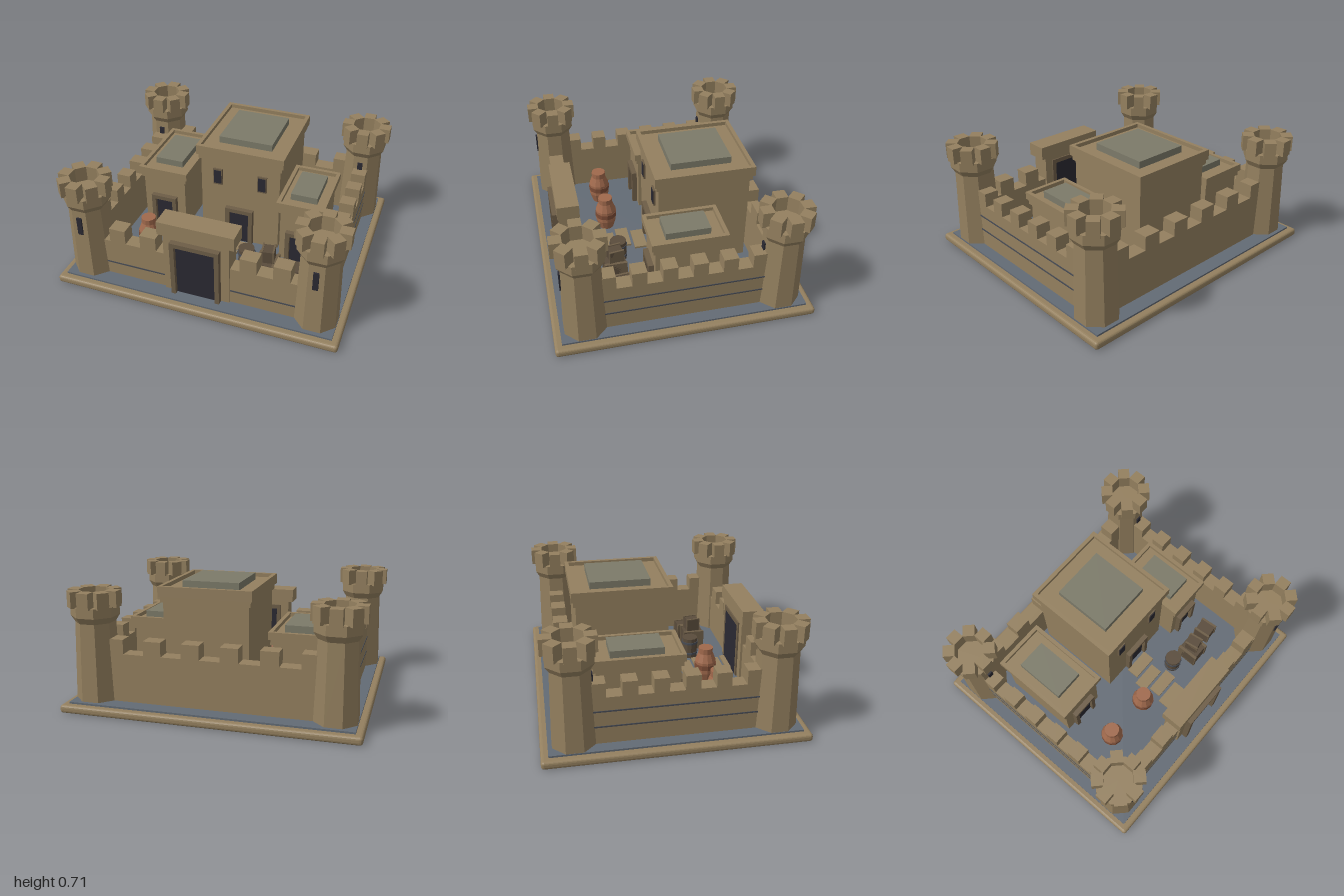
import * as THREE from 'three';
import { RoundedBoxGeometry } from 'three/addons/geometries/RoundedBoxGeometry.js';

const mat = (name, color) => {
  const m = new THREE.MeshStandardMaterial({ color, flatShading: true });
  m.name = name;
  return m;
};

export function createModel() {
  const stone = mat('sandstone', 0x94805f);
  const trim = mat('dark sandstone', 0x6d5d47);
  const slate = mat('slate ground', 0x636b75);
  const groove = mat('mortar groove', 0x484c54);
  const roofPatch = mat('roof panel', 0x7c7a69);
  const dark = mat('dark opening', 0x2a2932);
  const clay = mat('clay', 0xa0694c);
  const clayDark = mat('dark clay', 0x7c4c36);
  const wood = mat('dark wood', 0x5a4c3c);

  const fort = new THREE.Group();
  fort.name = 'fort';
  fort.rotation.y = 0.312;
  const G = 0.055; // courtyard level

  const add = (parent, name, geo, material, x = 0, y = 0, z = 0) => {
    const m = new THREE.Mesh(geo, material);
    m.name = name;
    m.position.set(x, y, z);
    parent.add(m);
    return m;
  };
  // Box given by its width, depth and lower and upper height
  const box = (parent, name, material, w, d, y0, y1, x = 0, z = 0) =>
    add(parent, name, new THREE.BoxGeometry(w, y1 - y0, d), material, x, (y0 + y1) / 2, z);
  const group = (name, x = 0, z = 0, parent = fort) => {
    const g = new THREE.Group();
    g.name = name;
    g.position.set(x, 0, z);
    parent.add(g);
    return g;
  };

  // Base plate and courtyard
  add(fort, 'basePlate', new RoundedBoxGeometry(1.64, 0.045, 1.43, 2, 0.016), stone, 0, 0.0225, 0);
  box(fort, 'courtyard', slate, 1.56, 1.35, 0.03, G);

  // Octagonal towers with a flared crown and eight merlons
  const octagon = (parent, name, rTop, rBottom, y0, y1) =>
    add(parent, name, new THREE.CylinderGeometry(rTop, rBottom, y1 - y0, 8), stone, 0, (y0 + y1) / 2, 0)
      .rotation.y = Math.PI / 8;
  for (const sx of [-1, 1]) for (const sz of [-1, 1]) {
    const t = group('tower', sx * 0.665, sz * 0.54);
    octagon(t, 'towerBody', 0.11, 0.123, G - 0.01, 0.49);
    octagon(t, 'towerFlare', 0.132, 0.11, 0.49, 0.525);
    octagon(t, 'towerCrown', 0.132, 0.132, 0.525, 0.58);
    for (let i = 0; i < 8; i++) {
      const a = i * Math.PI / 4;
      box(t, 'towerMerlon', stone, 0.066, 0.066, 0.575, 0.665, Math.sin(a) * 0.11, Math.cos(a) * 0.11)
        .rotation.y = a;
    }
    box(t, 'arrowSlit', dark, 0.03, 0.009, 0.34, 0.45, 0, 0.108);
  }

  // Curtain walls: back, sides and the two lower halves of the front
  box(fort, 'backWall', stone, 1.2, 0.085, G, 0.325, 0, -0.545);
  for (let i = -2.5; i <= 2.5; i++) box(fort, 'backMerlon', stone, 0.1, 0.085, 0.32, 0.405, i * 0.215, -0.545);
  for (const s of [-1, 1]) {
    box(fort, 'sideWall', stone, 0.085, 0.95, G, 0.325, s * 0.67, 0);
    for (const y of [0.155, 0.245])
      box(fort, 'sideGroove', groove, 0.008, 0.88, y - 0.004, y + 0.004, s * 0.7115, 0);
    for (let i = -2.5; i <= 2.5; i++)
      box(fort, 'sideMerlon', stone, 0.085, 0.08, 0.32, 0.405, s * 0.67, i * 0.163);
    box(fort, 'frontWall', stone, 0.4, 0.085, G, 0.287, s * 0.37, 0.545);
    box(fort, 'frontGroove', groove, 0.37, 0.008, 0.132, 0.14, s * 0.37, 0.5865);
    for (const x of [0.29, 0.475])
      box(fort, 'frontMerlon', stone, 0.095, 0.085, 0.28, 0.372, s * x, 0.545);
  }

  // Framed doorway on a face at z, turned by dir
  const doorway = (parent, w, y1, x, z, dir = 1, post = 0.025, out = 0.03) => {
    const d = group('doorway', x, z, parent);
    for (const s of [-1, 1])
      box(d, 'doorPost', trim, post, out, G, y1, s * (w + post) / 2, dir * out / 2);
    box(d, 'lintel', trim, w + 2 * post, out, y1, y1 + post, 0, dir * out / 2);
    box(d, 'door', dark, w, 0.009, G, y1, 0, dir * 0.004);
  };

  // Gatehouse
  const gate = group('gatehouse', 0, 0.545);
  box(gate, 'gateBody', stone, 0.38, 0.11, G, 0.43);
  box(gate, 'gateTop', stone, 0.44, 0.125, 0.43, 0.51);
  doorway(gate, 0.23, 0.38, 0, 0.055, 1, 0.026, 0.032);
  doorway(gate, 0.23, 0.38, 0, -0.055, -1, 0.026, 0.008);

  // Flat-roofed houses: roof slab, parapet on four sides, raised panel
  const house = (name, x, z, w, d, eave, top, pw, pd) => {
    const h = group(name, x, z);
    box(h, 'houseBody', stone, w - 0.045, d - 0.045, G, eave);
    box(h, 'roofEave', stone, w - 0.02, d - 0.02, eave, eave + 0.03);
    box(h, 'roofSlab', stone, w, d, eave + 0.03, top - 0.022);
    const r = 0.022;
    for (const s of [-1, 1]) {
      box(h, 'parapetSide', stone, r, d, top - 0.022, top, s * (w - r) / 2, 0);
      box(h, 'parapetEnd', stone, w - 2 * r, r, top - 0.022, top, 0, s * (d - r) / 2);
    }
    box(h, 'roofPanel', roofPatch, pw, pd, top - 0.022, top + 0.018);
    return h;
  };
  const main = house('mainHall', 0.058, -0.206, 0.524, 0.567, 0.6, 0.688, 0.32, 0.345);
  doorway(main, 0.12, 0.27, 0, 0.26, 1);
  for (const s of [-1, 1]) {
    box(main, 'windowFrame', trim, 0.056, 0.012, 0.44, 0.545, s * 0.135, 0.265);
    box(main, 'window', dark, 0.044, 0.009, 0.45, 0.535, s * 0.135, 0.27);
  }
  const left = house('longHouse', -0.43, -0.177, 0.31, 0.5, 0.39, 0.462, 0.175, 0.29);
  doorway(left, 0.11, 0.25, 0, 0.2275, 1);
  const right = house('smallHouse', 0.444, -0.06, 0.275, 0.425, 0.385, 0.458, 0.155, 0.25);
  doorway(right, 0.1, 0.24, 0, 0.19, 1);

  // Stepping slabs from the gate to the main hall
  [0.02, -0.015, 0.015, -0.01, 0.01].forEach((dx, i) =>
    box(fort, 'pathSlab', stone, 0.16, 0.075, G, G + 0.012, 0.02 + dx, 0.12 + i * 0.092));

  // Clay jars
  const jarProfile = [[0, 0], [0.045, 0], [0.062, 0.06], [0.062, 0.13], [0.043, 0.18], [0.043, 0.21]]
    .map(p => new THREE.Vector2(...p));
  for (const [x, z] of [[-0.432, 0.288], [-0.146, 0.29]]) {
    const jar = group('jar', x, z);
    add(jar, 'jarBody', new THREE.LatheGeometry(jarProfile, 12), clay, 0, G, 0);
    add(jar, 'jarBand', new THREE.CylinderGeometry(0.065, 0.065, 0.03, 12), clayDark, 0, G + 0.1, 0);
    add(jar, 'jarLid', new THREE.CylinderGeometry(0.043, 0.043, 0.008, 12), clay, 0, G + 0.21, 0);
  }

  // Barrel
  const barrel = group('barrel', 0.174, 0.269);
  add(barrel, 'barrelBody', new THREE.CylinderGeometry(0.048, 0.048, 0.13, 12), wood, 0, G + 0.065, 0);
  for (const y of [0.03, 0.1])
    add(barrel, 'barrelHoop', new THREE.CylinderGeometry(0.052, 0.052, 0.014, 12), groove, 0, G + y, 0);

  // Crates with raised edge slats
  const crate = (x, z, s, y0, turn) => {
    const c = group('crate', x, z);
    c.rotation.y = turn;
    box(c, 'crateBody', wood, s, s, y0, y0 + s);
    for (const k of [-1, 1]) {
      box(c, 'crateSlat', trim, s * 0.14, s + 0.01, y0, y0 + s + 0.005, k * s * 0.43, 0);
    }
  };
  crate(0.312, 0.314, 0.12, G, 0);
  crate(0.318, 0.31, 0.075, G + 0.12, 0.15);
  crate(0.471, 0.293, 0.095, G, 0.08);

  const model = new THREE.Group();
  model.name = 'desertFort';
  model.add(fort);
  return model;
}
